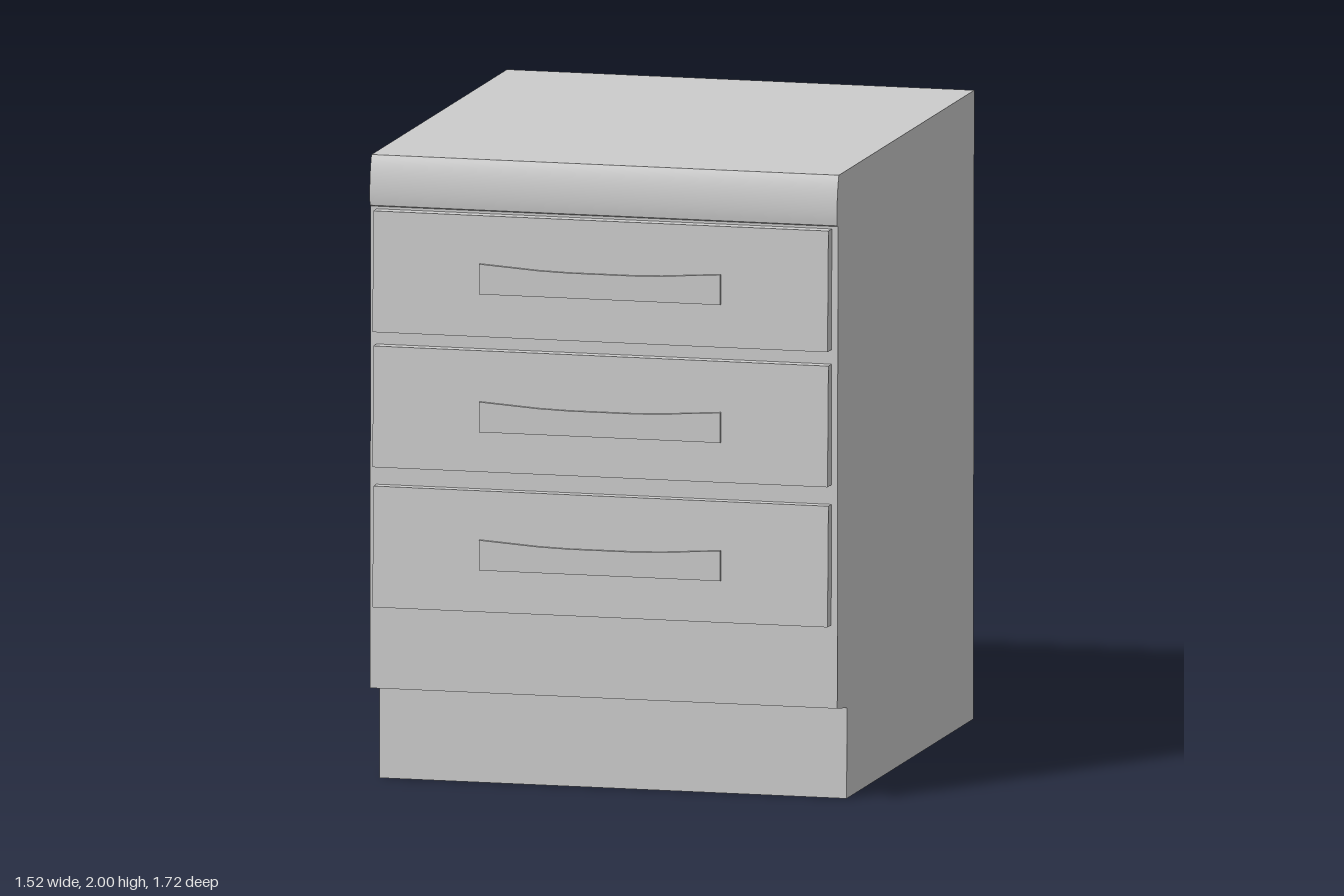
import * as THREE from 'three';
import { toCreasedNormals } from 'three/addons/utils/BufferGeometryUtils.js';

const material = new THREE.MeshStandardMaterial({ color: 0xcccccc });

// Extrudes a side profile of [z, y] points across the width, centred on x = 0.
function sideExtrude(shape, width) {
  const geo = new THREE.ExtrudeGeometry(shape, { depth: width, bevelEnabled: false, curveSegments: 10 });
  geo.translate(0, 0, -width / 2);
  geo.rotateY(-Math.PI / 2);
  return toCreasedNormals(geo, 0.4);
}

function part(name, geo) {
  const mesh = new THREE.Mesh(geo, material);
  mesh.name = name;
  return mesh;
}

// Cabinet with recessed plinth and rounded top lip
function makeCabinet() {
  const s = new THREE.Shape();
  s.moveTo(-0.848, 0);
  s.lineTo(0.7, 0);
  s.lineTo(0.696, 0.288);
  s.lineTo(0.815, 0.305);
  s.lineTo(0.806, 1.838);
  s.lineTo(0.815, 1.842);
  s.bezierCurveTo(0.823, 1.89, 0.813, 1.96, 0.795, 2);
  s.lineTo(-0.86, 2);
  s.closePath();
  return part('cabinet', sideExtrude(s, 1.518));
}

// Drawer front, slightly thicker at its lower edge
function makeDrawerFront() {
  const s = new THREE.Shape();
  s.moveTo(0.8, 0);
  s.lineTo(0.859, 0);
  s.lineTo(0.848, 0.384);
  s.lineTo(0.8, 0.384);
  s.closePath();
  return part('drawerFront', sideExtrude(s, 1.478));
}

// Raised handle plate with a dipped top edge
function makeHandle() {
  const s = new THREE.Shape();
  s.moveTo(-0.392, 0);
  s.lineTo(0.392, 0);
  s.lineTo(0.392, 0.096);
  s.lineTo(0.2, 0.083);
  s.lineTo(0.1, 0.08);
  s.lineTo(-0.1, 0.08);
  s.lineTo(-0.2, 0.083);
  s.lineTo(-0.392, 0.096);
  s.closePath();
  const geo = new THREE.ExtrudeGeometry(s, { depth: 0.034, bevelEnabled: false });
  geo.translate(0, 0, 0.83);
  return part('handle', geo);
}

export function createModel() {
  const model = new THREE.Group();
  model.name = 'drawerCabinet';
  model.add(makeCabinet());

  // Three drawers: bottom edge height and handle offset above it
  [[0.57, 0.133], [1.016, 0.127], [1.446, 0.136]].forEach(([y, handleY]) => {
    const drawer = new THREE.Group();
    drawer.name = 'drawer';
    const handle = makeHandle();
    handle.position.y = handleY;
    drawer.add(makeDrawerFront(), handle);
    drawer.position.y = y;
    model.add(drawer);
  });
  return model;
}
